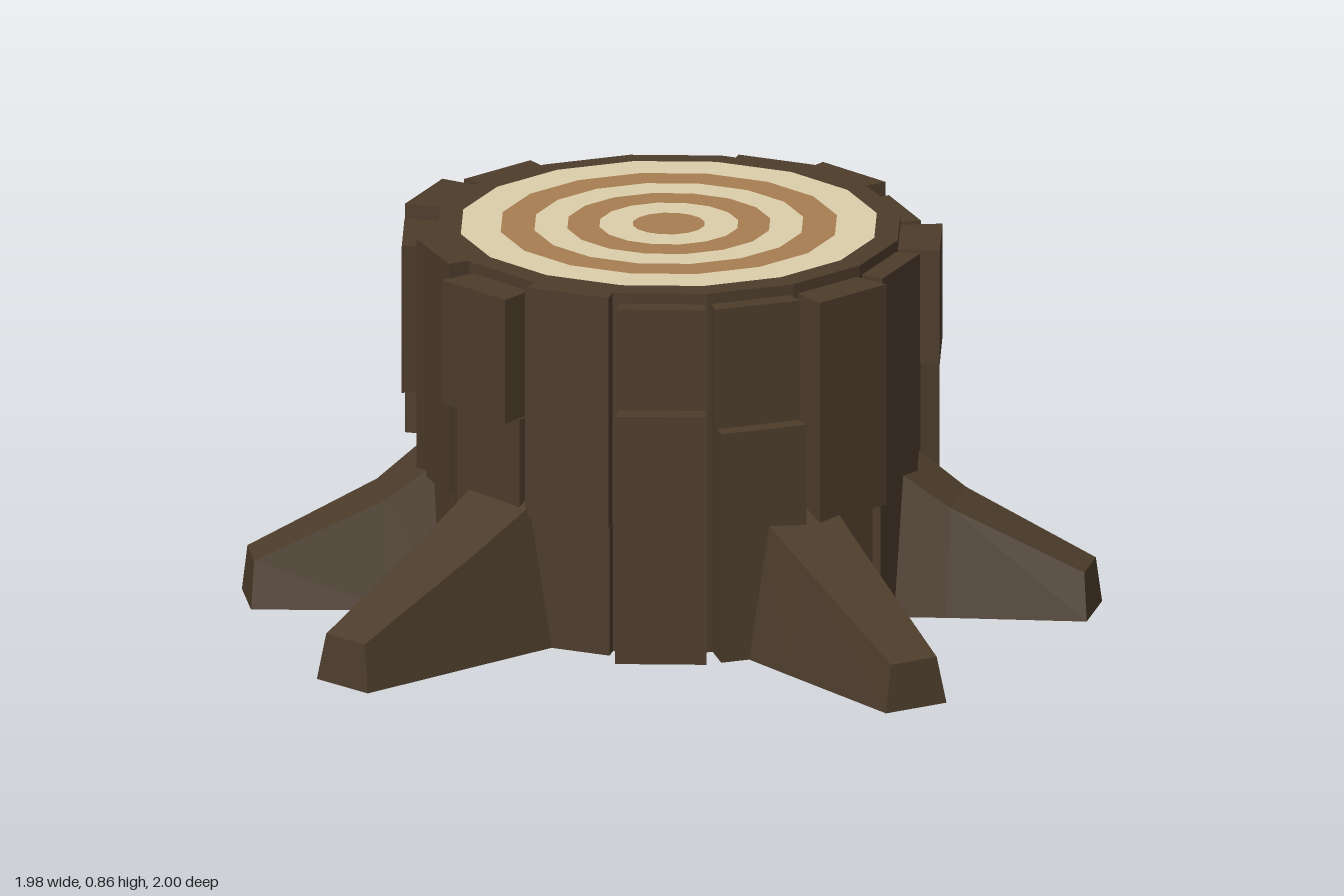
import * as THREE from 'three';

const bark = new THREE.MeshStandardMaterial({ color: 0x4c3c2b });
bark.name = 'bark';
const paleWood = new THREE.MeshStandardMaterial({ color: 0xdbceab });
paleWood.name = 'paleWood';
const darkWood = new THREE.MeshStandardMaterial({ color: 0xa97e52 });
darkWood.name = 'darkWood';

const HEIGHT = 0.855, LOW = 0.83, SIDES = 16;

function add(parent, name, geometry, material) {
  const mesh = new THREE.Mesh(geometry, material);
  mesh.name = name;
  parent.add(mesh);
  return mesh;
}

// Bark board between two heights: wider outside, tapering towards the trunk
function boardGeometry(outer, y0, y1) {
  const inner = 0.47;
  const g = new THREE.BoxGeometry(1, y1 - y0, outer - inner);
  g.translate(0, (y0 + y1) / 2, (outer + inner) / 2);
  const p = g.attributes.position;
  for (let i = 0; i < p.count; i++) {
    p.setX(i, Math.sign(p.getX(i)) * (p.getZ(i) > (outer + inner) / 2 ? 0.104 : 0.085));
  }
  g.computeVertexNormals();
  return g;
}

// Root lofted through trapezoid sections [distance, half base, half top, height]
function rootGeometry(tip) {
  const sections = [
    [0.42, 0.165, 0.11, 0.37],
    [0.55, 0.145, 0.095, 0.335],
    [tip * 0.68, 0.122, 0.082, 0.25],
    [tip, 0.08, 0.06, 0.11],
  ];
  const rings = sections.map(([d, b, t, h], i) => {
    const dTop = i === sections.length - 1 ? d - 0.01 : d;
    return [[-b, 0, d], [b, 0, d], [t, h, dTop], [-t, h, dTop]];
  });
  const v = [];
  const quad = (a, b, c, d) => v.push(...a, ...b, ...c, ...a, ...c, ...d);
  for (let i = 0; i < rings.length - 1; i++) {
    const r = rings[i], s = rings[i + 1];
    for (let k = 0; k < 4; k++) {
      const n = (k + 1) % 4;
      quad(r[k], r[n], s[n], s[k]);
    }
  }
  quad(...rings[rings.length - 1]);
  quad(...rings[0].slice().reverse());
  const g = new THREE.BufferGeometry();
  g.setAttribute('position', new THREE.Float32BufferAttribute(v, 3));
  g.computeVertexNormals();
  return g;
}

export function createModel() {
  const model = new THREE.Group();
  model.name = 'treeStump';
  const stump = new THREE.Group();
  stump.name = 'stump';
  stump.position.set(-0.05, 0, -0.08);
  model.add(stump);

  // Trunk core
  const core = new THREE.CylinderGeometry(0.535, 0.535, HEIGHT, SIDES).toNonIndexed();
  core.translate(0, HEIGHT / 2, 0);
  core.computeVertexNormals();
  add(stump, 'trunk', core, bark);

  // Growth rings on the cut face
  const radii = [0, 0.083, 0.16, 0.234, 0.31, 0.388, 0.48];
  for (let i = 0; i < radii.length - 1; i++) {
    const g = i === 0
      ? new THREE.CircleGeometry(radii[1], SIDES)
      : new THREE.RingGeometry(radii[i], radii[i + 1], SIDES);
    g.rotateX(-Math.PI / 2);
    g.translate(0, HEIGHT + 0.002, 0);
    add(stump, 'growthRing', g, i % 2 ? paleWood : darkWood);
  }

  // Bark boards, anticlockwise from the front: [lower radius, split, upper radius, top]
  const boards = [
    [0.56, 0.305, 0.567, HEIGHT],
    [0.62, 0.59, 0.57, LOW],
    [0.61, 0.545, 0.57, LOW],
    [0.565, 0.305, 0.612, LOW],
    [0.575, 0.37, 0.58, LOW],
    [0.57, 0.56, 0.62, LOW],
    [0.62, 0.5, 0.575, LOW],
    [0.57, 0.305, 0.58, HEIGHT],
    [0.59, 0.42, 0.62, LOW],
    [0.56, 0.49, 0.575, LOW],
    [0.585, 0.38, 0.565, LOW],
    [0.595, 0.44, 0.57, HEIGHT],
    [0.565, 0.31, 0.612, HEIGHT],
    [0.565, 0.48, 0.605, LOW],
    [0.56, 0.305, 0.575, HEIGHT],
    [0.565, 0.535, 0.61, LOW],
  ];
  boards.forEach(([lower, split, upper, top], i) => {
    const board = new THREE.Group();
    board.name = 'barkBoard';
    board.rotation.y = ((i + 0.5) / SIDES) * Math.PI * 2;
    add(board, 'lowerBark', boardGeometry(lower, 0, split), bark);
    add(board, 'upperBark', boardGeometry(upper, split, top), bark);
    stump.add(board);
  });

  // Roots, placed by the x and z of their tips
  const tips = [[0, -0.92], [0.915, -0.385], [1.01, 0.447], [-0.15, 1.07], [-0.71, 0.66], [-0.9, -0.44]];
  for (const [x, z] of tips) {
    const root = add(stump, 'root', rootGeometry(Math.hypot(x, z)), bark);
    root.rotation.y = Math.atan2(x, z);
  }
  return model;
}
